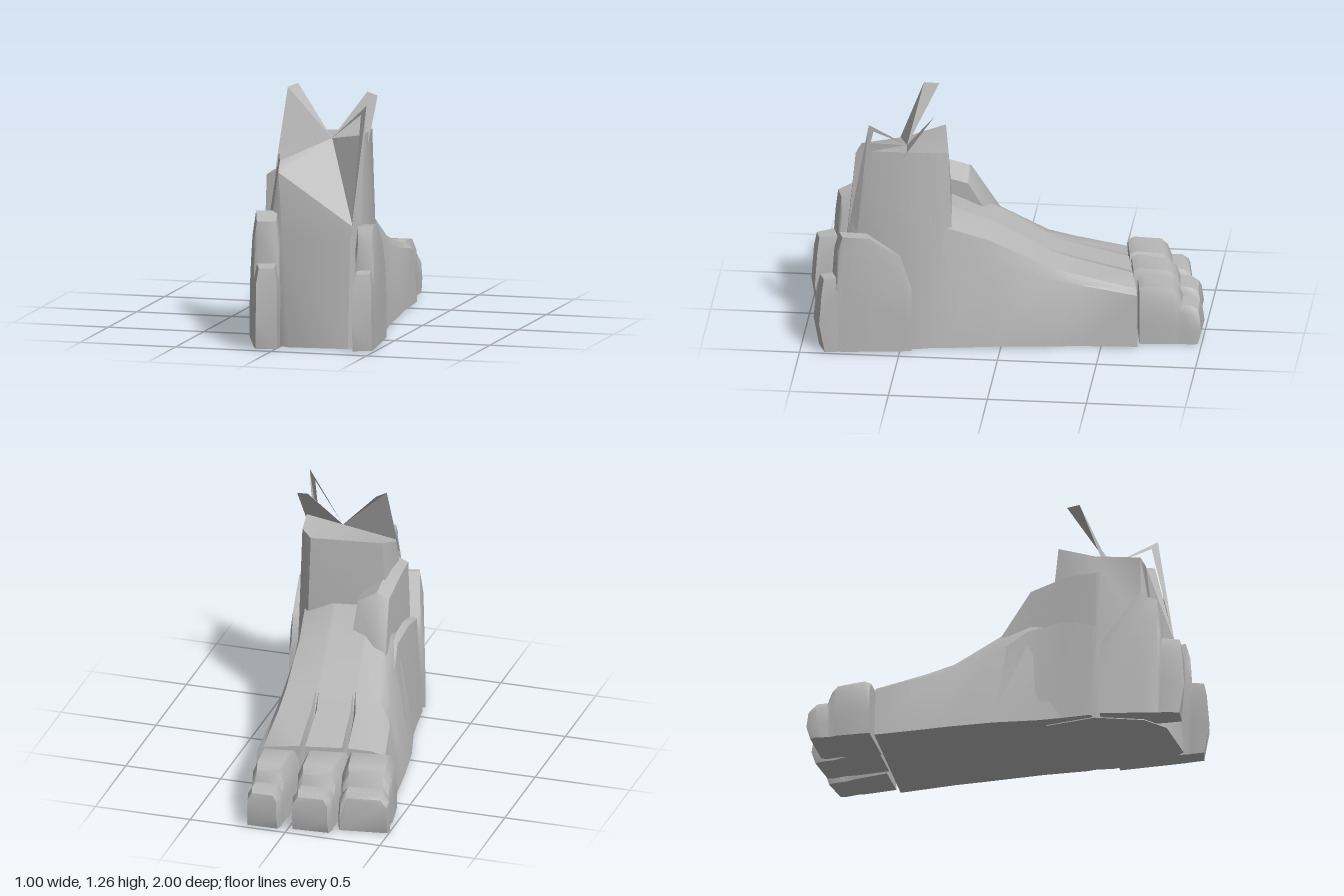
import * as THREE from 'three';
import { toCreasedNormals } from 'three/addons/utils/BufferGeometryUtils.js';

const V = (x, y, z) => new THREE.Vector3(x, y, z);
const lerp = THREE.MathUtils.lerp;

// Makes a creased geometry from a list of corner triples
function fromTriangles(tris, crease = 0.7) {
  const geo = new THREE.BufferGeometry();
  geo.setAttribute('position', new THREE.Float32BufferAttribute(tris.flat().flatMap(p => [p.x, p.y, p.z]), 3));
  geo.computeVertexNormals();
  return toCreasedNormals(geo, crease);
}

// Skins closed rings; flat(p) projects the end caps, peak replaces the last cap by a fan
function loft(rings, flat, peak) {
  const tris = [];
  const n = rings[0].length;
  for (let r = 0; r < rings.length - 1; r++) {
    for (let i = 0; i < n; i++) {
      const j = (i + 1) % n, a = rings[r], b = rings[r + 1];
      tris.push([a[i], a[j], b[j]], [a[i], b[j], b[i]]);
    }
  }
  const cap = (ring, last) => {
    const pts = ring.map(flat);
    const turned = THREE.ShapeUtils.isClockWise(pts);
    for (const [a, b, c] of THREE.ShapeUtils.triangulateShape(pts, [])) {
      const area = (pts[b].x - pts[a].x) * (pts[c].y - pts[a].y) - (pts[b].y - pts[a].y) * (pts[c].x - pts[a].x);
      const along = (area < 0) === turned; // same turn as the ring itself
      tris.push(along === last ? [ring[a], ring[b], ring[c]] : [ring[a], ring[c], ring[b]]);
    }
  };
  cap(rings[0], false);
  const end = rings[rings.length - 1];
  if (peak) end.forEach((p, i) => tris.push([p, end[(i + 1) % n], peak]));
  else cap(end, true);
  // Turn everything outward if the enclosed volume is negative
  let volume = 0;
  for (const [a, b, c] of tris) volume += a.dot(b.clone().cross(c));
  return fromTriangles(volume < 0 ? tris.map(([a, b, c]) => [a, c, b]) : tris);
}

const frontal = p => new THREE.Vector2(p.x, p.y);
const plan = p => new THREE.Vector2(p.x, p.z);

// Two-lobed digit between base and tip edges; profile rows are [t, height, side inset]
function digit(baseL, baseR, tipL, tipR, profile) {
  const rings = profile.map(([t, h, inset]) => {
    const at = (s, y, push = 0) => {
      const k = t + push;
      return V(lerp(lerp(baseL[0], tipL[0], k), lerp(baseR[0], tipR[0], k), s), y,
        lerp(lerp(baseL[1], tipL[1], k), lerp(baseR[1], tipR[1], k), s));
    };
    const back = t > 0.95 ? -0.06 : 0;
    const half = [[0, 0.01, back], [0, h * 0.4, 0], [0.02, h * 0.82, back / 2], [0.14, h, back]];
    return [...half.map(([s, y, k]) => at(inset + s, y, k)),
      ...half.reverse().map(([s, y, k]) => at(1 - inset - s, y, k))];
  });
  return loft(rings, frontal);
}

// Instep cross-section: sloping flanks, three ridges and two grooves of given depth
function instepRing([z, slant, footL, sideL, sideR, footR, sideY, top, groove1, groove2]) {
  const at = (x, y) => V(x, y, z + slant * (x + 0.07));
  const ridge = (u, drop) => at(lerp(sideL, sideR, u), top - drop);
  const edge = (top - sideY) * 0.3;
  const groove = (u, depth) => [ridge(u - 0.023, 0), ridge(u, depth), ridge(u + 0.023, 0)];
  return [at(footL, 0.01), at(sideL, sideY), ridge(0.1, edge), ...groove(0.315, groove1),
    ...groove(0.647, groove2), ridge(0.95, edge), at(sideR, sideY), at(footR, 0.01)];
}

// Ankle bone cross-section: a low outer step and a higher inner step
function boneRing([z, foot, x, step, top]) {
  return [V(foot, 0.01, z), V(x, step, z), V(x + 0.035, step + 0.01, z), V(x + 0.045, top - 0.03, z),
    V(x + 0.11, top, z), V(0, top - 0.06, z), V(0, 0.01, z)];
}

export function createModel() {
  const model = new THREE.Group();
  model.name = 'brokenStatueFoot';
  const stone = new THREE.MeshStandardMaterial({ color: 0xb6b6b6, side: THREE.DoubleSide });
  stone.name = 'grey stone';
  const add = (name, geo) => {
    const mesh = new THREE.Mesh(geo, stone);
    mesh.name = name;
    model.add(mesh);
  };

  // Instep from the toe joints back into the ankle
  add('instep', loft([
    [-0.615, -0.2, -0.42, -0.385, 0.25, 0.27, 0.28, 0.315, 0.21, 0.295],
    [-0.34, -0.15, -0.385, -0.33, 0.26, 0.29, 0.33, 0.39, 0.05, 0.06],
    [-0.2, -0.1, -0.37, -0.29, 0.27, 0.31, 0.36, 0.44, 0, 0],
    [0.06, 0, -0.33, -0.24, 0.29, 0.345, 0.45, 0.6, 0, 0],
    [0.28, 0, -0.27, -0.2, 0.33, 0.385, 0.5, 0.69, 0, 0],
    [0.52, 0, -0.23, -0.18, 0.34, 0.39, 0.45, 0.65, 0, 0],
  ].map(instepRing), frontal));

  // Heel and ankle: horizontal rings ending in a broken rim around a sunken centre
  const centre = V(0.17, 1.02, 0.49);
  const ring = (y, pts) => pts.map(([x, z, h = y]) => V(x, h, z));
  add('heelAndAnkle', loft([
    ring(0.005, [[-0.2, 0.3], [0.36, 0.28], [0.4, 0.42], [0.4, 0.74], [0.35, 0.82], [0.05, 0.85], [-0.08, 0.78], [-0.2, 0.56]]),
    ring(0.55, [[-0.14, 0.29], [0.28, 0.25], [0.35, 0.33], [0.39, 0.72], [0.35, 0.78], [0, 0.8], [-0.08, 0.76], [-0.16, 0.52]]),
    ring(1.03, [[-0.09, 0.32], [0.27, 0.27], [0.33, 0.32, 1.05], [0.385, 0.65, 1.07], [0.36, 0.77, 0.62], [-0.03, 0.77, 0.88],
      [-0.03, 0.74, 0.935], [-0.1, 0.52, 0.95]]),
  ], plan, centre));

  // Splintered sheets fanning out of the broken ankle
  const heelCorner = V(0.355, 0.62, 0.77), rightTip = V(0.37, 1.225, 0.36);
  const leftTip = V(-0.08, 1.26, 0.43), backTip = V(0.4, 1.22, 0.66), backNotch = V(0.365, 1.17, 0.64);
  add('ankleSplinters', fromTriangles([
    [centre, V(-0.05, 1.27, 0.35), leftTip],
    [centre, leftTip, V(-0.1, 0.87, 0.58)],
    [centre, rightTip, V(0.31, 1.24, 0.34)],
    [centre, heelCorner, rightTip],
    [heelCorner, V(0.385, 0.63, 0.72), backTip],
    [heelCorner, backTip, backNotch],
    [centre, backTip, backNotch],
  ], 0));

  // Ankle bone swelling on the right-hand flank
  add('ankleBone', loft([
    [0.05, -0.33, -0.24, 0.44, 0.57],
    [0.2, -0.27, -0.21, 0.54, 0.81],
    [0.4, -0.25, -0.21, 0.56, 0.86],
    [0.55, -0.23, -0.2, 0.52, 0.86],
  ].map(boneRing), frontal));

  // Three front toes, each a knuckle followed by a lower tip
  const toeProfile = [[0, 0.3, 0], [0.1, 0.315, 0], [0.52, 0.3, 0], [0.62, 0.27, 0.03], [0.68, 0.215, 0.03], [0.84, 0.21, 0], [1, 0.19, 0.04]];
  add('outerToe', digit([-0.45, -0.56], [-0.19, -0.6], [-0.51, -0.88], [-0.25, -0.92], toeProfile));
  add('middleToe', digit([-0.23, -0.6], [0.01, -0.64], [-0.22, -0.97], [-0.02, -0.98], toeProfile));
  add('innerToe', digit([0.03, -0.66], [0.23, -0.69], [0.04, -1], [0.21, -1], toeProfile));

  // Two rear claws flanking the heel
  add('leftRearClaw', digit([0.35, 0.46], [0.44, 0.44], [0.4, 0.94], [0.5, 0.9],
    [[0, 0.35, 0], [0.1, 0.5, 0], [0.45, 0.62, 0], [0.74, 0.63, 0], [0.79, 0.55, 0.04], [0.81, 0.41, 0.02], [1, 0.4, 0.04]]));
  add('rightRearClaw', digit([-0.23, 0.6], [-0.06, 0.55], [-0.085, 1], [0.025, 0.97],
    [[0, 0.4, 0], [0.15, 0.5, 0], [0.45, 0.68, 0], [0.68, 0.64, 0], [0.71, 0.55, 0.02], [0.73, 0.43, 0], [1, 0.42, 0.04]]));

  return model;
}
